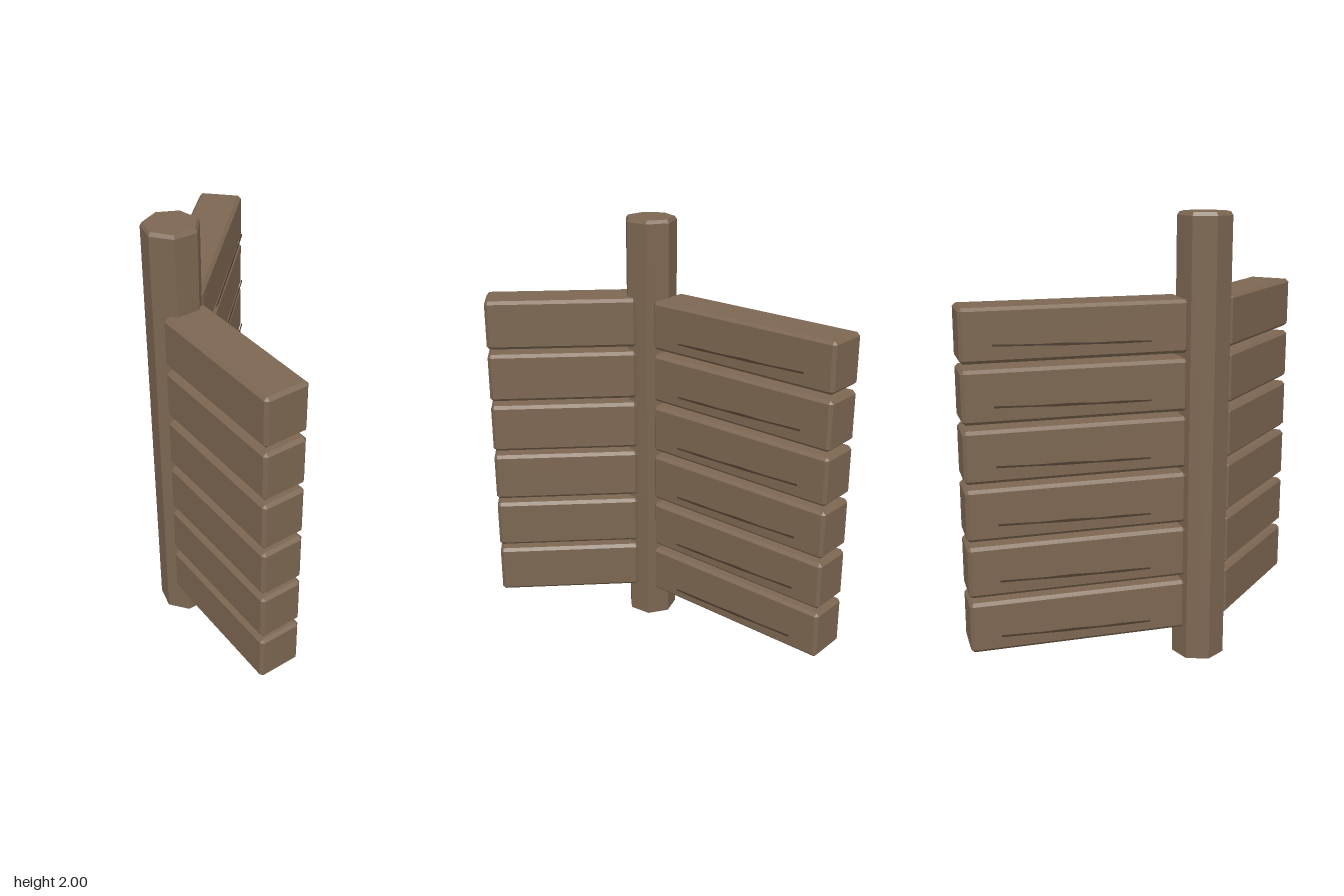
import * as THREE from 'three';
import { ConvexGeometry } from 'three/addons/geometries/ConvexGeometry.js';

const wood = new THREE.MeshStandardMaterial({ color: 0x7c6651 });
wood.name = 'brownWood';
const dark = new THREE.MeshStandardMaterial({ color: 0x4a3b2e });
dark.name = 'darkCrack';

const ROWS = 6, FIRST_Y = 0.276, STEP = 0.2514;

// Box with every edge cut by c
function chamferedBox(w, h, d, c) {
  const pts = [];
  for (const sx of [-1, 1]) for (const sy of [-1, 1]) for (const sz of [-1, 1]) {
    const x = w / 2, y = h / 2, z = d / 2;
    for (const [px, py, pz] of [[x, y - c, z - c], [x - c, y, z - c], [x - c, y - c, z]]) {
      pts.push(new THREE.Vector3(sx * px, sy * py, sz * pz));
    }
  }
  return new ConvexGeometry(pts);
}

// Thin jagged sliver running along x
function crackGeometry() {
  const upper = [[-0.33, -0.003], [-0.2, 0.001], [-0.1, 0], [0.02, 0.006], [0.15, 0.005], [0.33, 0.012]];
  const lower = [[0.33, 0.004], [0.17, 0], [0.05, -0.005], [-0.08, -0.006], [-0.2, -0.009], [-0.33, -0.008]];
  const shape = new THREE.Shape([...upper, ...lower].map(([x, y]) => new THREE.Vector2(x, y)));
  const geo = new THREE.ExtrudeGeometry(shape, { depth: 0.004, bevelEnabled: false });
  geo.translate(0.021, -0.043, -0.002);
  return geo;
}

function add(parent, geo, mat, name, x, y, z) {
  const mesh = new THREE.Mesh(geo, mat);
  mesh.name = name;
  mesh.position.set(x, y, z);
  parent.add(mesh);
  return mesh;
}

export function createModel() {
  const model = new THREE.Group();
  model.name = 'cornerFence';

  // Seven-sided post with a bevelled top
  const profile = [[0, 0], [0.12, 0], [0.12, 1.985], [0.11, 2], [0, 2]].map(([r, y]) => new THREE.Vector2(r, y));
  const postGeo = new THREE.LatheGeometry(profile, 7, Math.PI).toNonIndexed();
  postGeo.computeVertexNormals();
  add(model, postGeo, wood, 'post', -0.347, 0, 0.022);

  const shortGeo = chamferedBox(0.2, 0.226, 0.685, 0.014);
  const longGeo = chamferedBox(0.96, 0.226, 0.2, 0.014);
  const crackGeo = crackGeometry();

  // Stacked beams: short ones run forward, long ones run diagonally back
  for (let i = 0; i < ROWS; i++) {
    const y = FIRST_Y + i * STEP;
    add(model, shortGeo, wood, 'frontBeam', -0.347, y, 0.4375);

    const beam = new THREE.Group();
    beam.name = 'diagonalBeam';
    beam.position.set(0.061, y, -0.387);
    beam.rotation.y = Math.PI / 4;
    add(beam, longGeo, wood, 'beam', 0, 0, 0);
    // Cracks standing just off both broad faces
    for (const side of [-1, 1]) add(beam, crackGeo, dark, 'crack', 0, 0, side * 0.124);
    model.add(beam);
  }
  return model;
}
